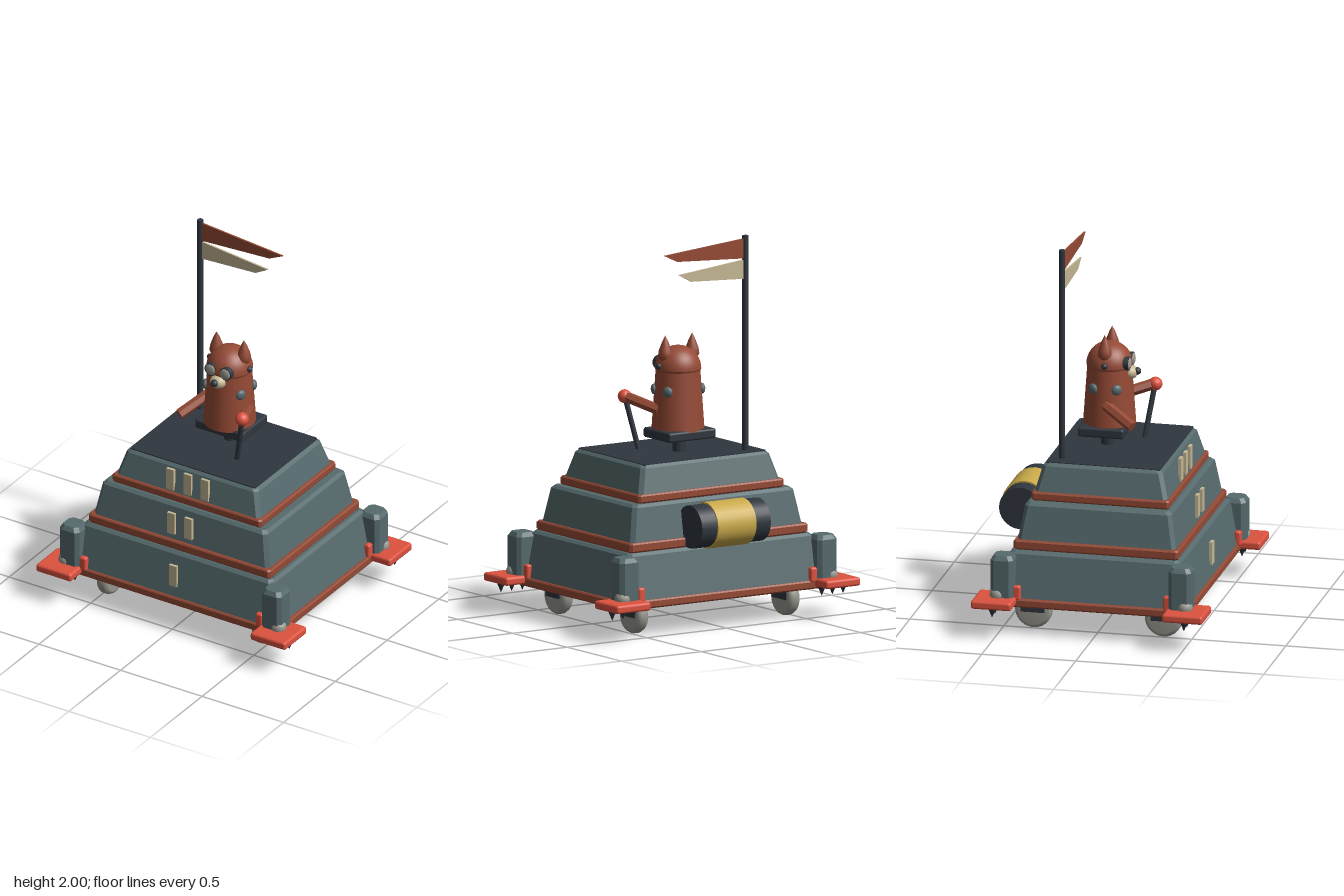
import * as THREE from 'three';
import { RoundedBoxGeometry } from 'three/addons/geometries/RoundedBoxGeometry.js';

const mat = (name, color, side = THREE.FrontSide) => {
  const m = new THREE.MeshStandardMaterial({ color, side });
  m.name = name;
  return m;
};

export function createModel() {
  const root = new THREE.Group();
  root.name = 'rollingFortress';
  const slate = mat('slate', 0x566a6d), rust = mat('rust', 0x954a35), dark = mat('dark', 0x2f363e);
  const red = mat('red', 0xdd523f), yellow = mat('yellow', 0xc9a94a);
  const cream = mat('cream', 0xc6b894), grey = mat('grey', 0x98978f);

  const add = (name, geo, material, x = 0, y = 0, z = 0, parent = root) => {
    const m = new THREE.Mesh(geo, material);
    m.name = name;
    m.position.set(x, y, z);
    parent.add(m);
    return m;
  };

  // Stacked rectangular sections [y, halfX, halfZ] with cut corners of size c
  const stack = (rings, c) => {
    const pos = [], idx = [];
    for (const [y, a, b] of rings) {
      for (const [x, z] of [[a, b - c], [a - c, b], [c - a, b], [-a, b - c],
        [-a, c - b], [c - a, -b], [a - c, -b], [a, c - b]]) pos.push(x, y, z);
    }
    const top = (rings.length - 1) * 8;
    for (let r = 0; r < top; r += 8) {
      for (let i = 0; i < 8; i++) {
        const j = (i + 1) % 8;
        idx.push(r + i, r + 8 + i, r + j, r + j, r + 8 + i, r + 8 + j);
      }
    }
    for (let i = 1; i < 7; i++) idx.push(0, i, i + 1, top, top + i + 1, top + i);
    const g = new THREE.BufferGeometry();
    g.setAttribute('position', new THREE.Float32BufferAttribute(pos, 3));
    g.setIndex(idx);
    const flat = g.toNonIndexed();
    flat.computeVertexNormals();
    return flat;
  };

  // Cylinder from point a to point b
  const rod = (name, a, b, r, sides, material, parent = root) => {
    const p = new THREE.Vector3(...a), d = new THREE.Vector3(...b).sub(p);
    const g = new THREE.CylinderGeometry(r, r, d.length(), sides);
    const m = add(name, sides < 8 ? g.toNonIndexed() : g, material, 0, 0, 0, parent);
    if (sides < 8) m.geometry.computeVertexNormals();
    m.position.copy(p).addScaledVector(d, 0.5);
    m.quaternion.setFromUnitVectors(new THREE.Vector3(0, 1, 0), d.normalize());
    return m;
  };

  // Hull: three sloping tiers, each standing on a rust trim
  const trim = (y0, y1, a, b) => add('trim', stack([
    [y0, a - 0.006, b - 0.006], [y0 + 0.008, a, b], [y1 - 0.008, a, b], [y1, a - 0.006, b - 0.006]], 0.012), rust);
  const tier = (y0, y1, a0, b0, a1, b1) => add('tier', stack([
    [y0, a0, b0], [y1 - 0.015, a1 + 0.003, b1 + 0.003], [y1, a1 - 0.013, b1 - 0.013]], 0.02), slate);
  trim(0.155, 0.2, 0.648, 0.51);
  tier(0.2, 0.44, 0.63, 0.497, 0.58, 0.452);
  trim(0.44, 0.49, 0.557, 0.438);
  tier(0.49, 0.68, 0.537, 0.42, 0.502, 0.388);
  trim(0.68, 0.725, 0.457, 0.367);
  tier(0.725, 0.868, 0.44, 0.353, 0.4, 0.316);
  add('deck', stack([[0.864, 0.384, 0.304], [0.872, 0.384, 0.304]], 0.01), dark);

  // Window slits: three, two, one
  const rows = [[3, 0.795, 0.348], [2, 0.585, 0.424], [1, 0.318, 0.488]];
  for (const [n, y, z] of rows) {
    for (let i = 0; i < n; i++) {
      add('windowSlit', new THREE.BoxGeometry(0.046, 0.122, 0.016), cream, (i - (n - 1) / 2) * 0.106, y, z);
    }
  }

  // Four corners: bumper plate, post, lamp, brackets, spikes and wheel
  const post = stack([[0.2, 0.06, 0.06], [0.41, 0.06, 0.06], [0.433, 0.047, 0.047]], 0.02);
  const spike = new THREE.ConeGeometry(0.026, 0.06, 8);
  const half = [[0, -0.035], [0.075, -0.035], [0.09, -0.028], [0.098, -0.013],
    [0.098, 0.013], [0.09, 0.028], [0.075, 0.035], [0, 0.035]];
  const wheel = new THREE.LatheGeometry(half.map(p => new THREE.Vector2(...p)), 28);
  for (const sx of [-1, 1]) {
    for (const sz of [-1, 1]) {
      add('bumperPlate', new RoundedBoxGeometry(0.216, 0.045, 0.216, 2, 0.014), red, sx * 0.657, 0.188, sz * 0.509);
      add('cornerPost', post, slate, sx * 0.62, 0, sz * 0.473);
      add('cornerLamp', new THREE.SphereGeometry(0.042, 16, 10), grey, sx * 0.65, 0.22, sz * 0.498);
      add('bracket', new RoundedBoxGeometry(0.042, 0.08, 0.035, 2, 0.012), red, sx * 0.54, 0.23, sz * 0.502);
      add('bracket', new RoundedBoxGeometry(0.035, 0.08, 0.042, 2, 0.012), red, sx * 0.632, 0.23, sz * 0.4);
      for (const dx of [-0.067, 0, 0.067]) {
        add('spike', spike, dark, sx * 0.657 + dx, 0.145, sz * 0.51).rotation.x = Math.PI;
      }
      add('wheel', wheel, grey, sx * 0.475, 0.1, sz * 0.345).rotation.z = Math.PI / 2;
      add('wheelMount', new THREE.BoxGeometry(0.08, 0.07, 0.125), dark, sx * 0.475, 0.126, sz * 0.345);
    }
  }

  // Barrel on the back
  add('barrel', new THREE.CylinderGeometry(0.113, 0.113, 0.43, 28), dark, 0, 0.552, -0.48).rotation.z = Math.PI / 2;
  add('barrelBand', new THREE.CylinderGeometry(0.121, 0.121, 0.24, 28), yellow, 0, 0.552, -0.48).rotation.z = Math.PI / 2;

  // Flagpole with two swallow pennants
  rod('flagpole', [-0.297, 0.865, -0.238], [-0.297, 2, -0.238], 0.016, 12, dark);
  const pennant = (name, pts, material) => add(name, new THREE.ExtrudeGeometry(
    new THREE.Shape(pts.map(p => new THREE.Vector2(...p))), { depth: 0.01, bevelEnabled: false }), material, 0, 0, -0.243);
  pennant('upperPennant', [[-0.285, 1.88], [0.13, 1.903], [0.212, 1.942], [-0.285, 1.984]], rust);
  pennant('lowerPennant', [[-0.285, 1.773], [0.045, 1.79], [0.12, 1.832], [-0.285, 1.873]], cream);

  // Seat
  add('seat', new RoundedBoxGeometry(0.295, 0.052, 0.245, 2, 0.012), dark, 0, 0.968, -0.07);
  add('seatPost', new THREE.CylinderGeometry(0.036, 0.036, 0.1, 16), dark, 0, 0.91, -0.065);

  // Pilot, centred on its own vertical axis
  const pilot = new THREE.Group();
  pilot.name = 'pilot';
  pilot.position.z = -0.055;
  root.add(pilot);
  add('body', new THREE.CylinderGeometry(0.115, 0.138, 0.33, 28), rust, 0, 1.15, 0, pilot);
  add('head', new THREE.SphereGeometry(0.121, 28, 12, 0, Math.PI * 2, 0, Math.PI / 2), rust, 0, 1.305, 0, pilot);
  add('headRim', new THREE.CylinderGeometry(0.121, 0.116, 0.012, 28), rust, 0, 1.3, 0, pilot);
  const earProfile = [[0, -0.03], [0.025, -0.022], [0.038, 0], [0.034, 0.03], [0.016, 0.078], [0, 0.11]];
  const ear = new THREE.LatheGeometry(earProfile.map(p => new THREE.Vector2(...p)), 14);
  for (const s of [-1, 1]) {
    add('ear', ear, rust, s * 0.084, 1.375, -0.006, pilot);
    add('earBolt', new THREE.SphereGeometry(0.017, 12, 8), dark, s * 0.12, 1.325, 0, pilot);
    add('goggleRim', new THREE.CylinderGeometry(0.036, 0.036, 0.03, 20), dark, s * 0.045, 1.326, 0.101, pilot)
      .rotation.x = Math.PI / 2;
    add('goggleLens', new THREE.SphereGeometry(0.032, 16, 10), grey, s * 0.045, 1.326, 0.113, pilot).scale.z = 0.42;
    // Round studs around the body
    for (const a of [-1, 1]) {
      const stud = add('stud', new THREE.SphereGeometry(0.028, 14, 10), slate, s * 0.108, 1.197, a * 0.063, pilot);
      stud.scale.z = 0.6;
      stud.rotation.y = Math.atan2(s * 0.108, a * 0.063);
    }
  }
  add('muzzle', new THREE.SphereGeometry(0.045, 18, 12), cream, 0, 1.268, 0.11, pilot).scale.set(1, 0.82, 0.9);
  add('nose', new THREE.SphereGeometry(0.02, 12, 8), dark, 0, 1.275, 0.148, pilot);

  // Arms, and the lever held in the left hand
  rod('rightArm', [-0.115, 1.115, -0.05], [-0.203, 1.035, 0.112], 0.029, 6, rust);
  rod('leftArm', [0.115, 1.095, -0.05], [0.195, 1.145, 0.125], 0.029, 6, rust);
  rod('lever', [0.143, 0.87, 0.098], [0.2, 1.148, 0.14], 0.014, 10, dark);
  add('leverKnob', new THREE.SphereGeometry(0.036, 18, 12), red, 0.2, 1.148, 0.142);

  return root;
}
